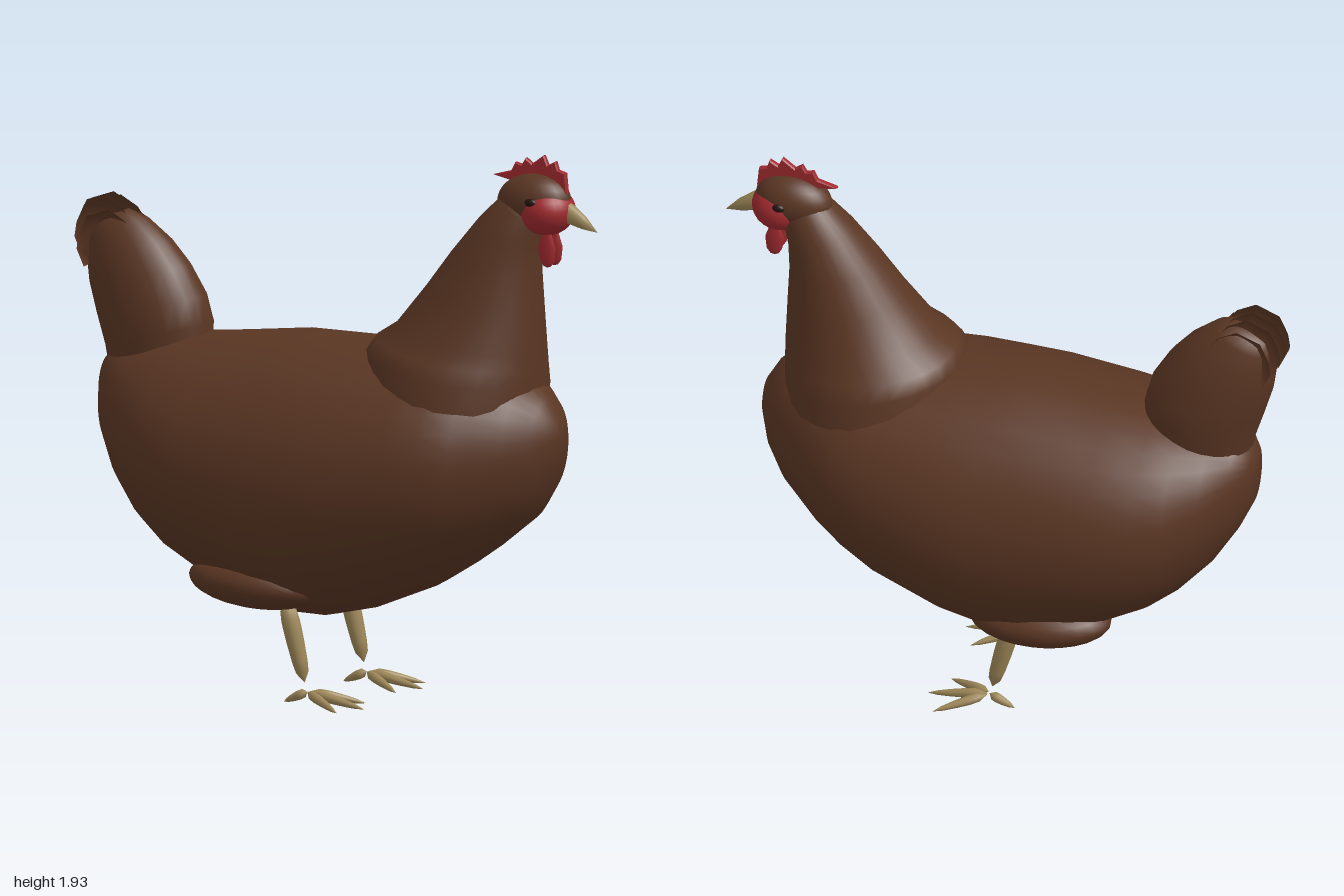
import * as THREE from 'three';
import { mergeVertices } from 'three/addons/utils/BufferGeometryUtils.js';

const material = (name, color) => {
  const m = new THREE.MeshStandardMaterial({ color });
  m.name = name;
  return m;
};

// Skin over elliptical sections [ax, ay, bx, by, halfWidthZ];
// a is on the right of the direction of travel, b on the left.
function loft(sections, sides = 24) {
  const pos = [], index = [];
  for (const [ax, ay, bx, by, w] of sections) {
    for (let j = 0; j < sides; j++) {
      const t = (j / sides) * Math.PI * 2, c = Math.cos(t) / 2;
      pos.push((ax + bx) / 2 + (bx - ax) * c, (ay + by) / 2 + (by - ay) * c, w * Math.sin(t));
    }
  }
  for (let i = 0; i < sections.length - 1; i++) {
    for (let j = 0; j < sides; j++) {
      const k = (j + 1) % sides, p = i * sides, q = p + sides;
      index.push(p + j, p + k, q + k, p + j, q + k, q + j);
    }
  }
  const g = new THREE.BufferGeometry();
  g.setAttribute('position', new THREE.Float32BufferAttribute(pos, 3));
  g.setIndex(index);
  const merged = mergeVertices(g, 1e-5);
  merged.computeVertexNormals();
  return merged;
}

// Spindle between two points, radii given evenly along its length
function spindle(from, to, radii, sides = 10) {
  const a = new THREE.Vector3(...from), d = new THREE.Vector3(...to).sub(a), len = d.length();
  const pts = radii.map((r, i) => new THREE.Vector2(r, (len * i) / (radii.length - 1)));
  const g = new THREE.LatheGeometry(pts, sides);
  g.applyQuaternion(new THREE.Quaternion().setFromUnitVectors(new THREE.Vector3(0, 1, 0), d.normalize()));
  return g.translate(a.x, a.y, a.z);
}

function ellipsoid(center, radii, tilt = 0) {
  return new THREE.SphereGeometry(1, 24, 16).scale(...radii).rotateZ(tilt).translate(...center);
}

export function createModel() {
  const brown = material('brown plumage', 0x5a3623);
  const red = material('red skin', 0xa02a2f);
  const horn = material('tan horn', 0x9c8657);
  const dark = material('dark eye', 0x24140f);
  const model = new THREE.Group();
  model.name = 'hen';
  const add = (name, geometry, mat, parent = model) => {
    const mesh = new THREE.Mesh(geometry, mat);
    mesh.name = name;
    parent.add(mesh);
    return mesh;
  };

  // Body: [x, bottom, top, half width] from rump to breast
  const bodyRows = [
    [-0.89, 1.0, 1.0, 0], [-0.88, 0.88, 1.1, 0.08], [-0.83, 0.77, 1.145, 0.175], [-0.75, 0.64, 1.165, 0.265],
    [-0.65, 0.53, 1.185, 0.35], [-0.55, 0.45, 1.205, 0.405], [-0.4, 0.37, 1.22, 0.447], [-0.15, 0.287, 1.25, 0.465],
    [0.0, 0.285, 1.25, 0.474], [0.15, 0.32, 1.25, 0.47], [0.38, 0.415, 1.24, 0.435], [0.5, 0.49, 1.23, 0.4],
    [0.6, 0.56, 1.21, 0.345], [0.74, 0.67, 1.165, 0.225], [0.81, 0.77, 1.1, 0.14], [0.85, 0.88, 1.03, 0.06],
    [0.86, 0.97, 0.97, 0],
  ];
  add('body', loft(bodyRows.map(([x, lo, hi, w]) => [x, lo, x, hi, w]), 32), brown);

  // Neck, leaning forward and tapering up into the head
  add('neck', loft([
    [0.77, 1.02, 0.15, 1.12, 0.32], [0.775, 1.13, 0.15, 1.24, 0.305], [0.775, 1.19, 0.18, 1.28, 0.275],
    [0.775, 1.25, 0.25, 1.325, 0.24], [0.77, 1.4, 0.36, 1.46, 0.19], [0.765, 1.52, 0.45, 1.58, 0.155],
    [0.77, 1.62, 0.55, 1.7, 0.122], [0.79, 1.7, 0.635, 1.785, 0.09], [0.79, 1.76, 0.7, 1.81, 0.05],
    [0.76, 1.79, 0.76, 1.79, 0],
  ], 28), brown);

  // Head and face
  add('head', ellipsoid([0.755, 1.775, 0], [0.135, 0.095, 0.088], 0.1), brown);
  add('face', ellipsoid([0.803, 1.745, 0], [0.098, 0.085, 0.098], 0.1), red);
  add('beak', loft([
    [0.86, 1.705, 0.87, 1.79, 0.03], [0.89, 1.705, 0.9, 1.775, 0.028], [0.94, 1.692, 0.95, 1.738, 0.017],
    [0.998, 1.685, 0.998, 1.685, 0],
  ], 12), horn);

  // Comb: toothed plate
  const outline = [[0.6, 1.852], [0.67, 1.872], [0.685, 1.902], [0.71, 1.895], [0.725, 1.92], [0.75, 1.902],
    [0.795, 1.935], [0.81, 1.902], [0.84, 1.918], [0.85, 1.888], [0.878, 1.88], [0.885, 1.81], [0.84, 1.8],
    [0.78, 1.83], [0.68, 1.835]];
  const combShape = new THREE.Shape(outline.map(([x, y]) => new THREE.Vector2(x, y)));
  add('comb', new THREE.ExtrudeGeometry(combShape, {
    depth: 0.012, bevelThickness: 0.005, bevelSize: 0.004, bevelOffset: -0.004, bevelSegments: 1,
  }).translate(0, 0, -0.006), red);

  // Tail base and its curled feathers
  add('tail', loft([
    [-0.5, 1.08, -0.86, 1.02, 0.14], [-0.495, 1.24, -0.88, 1.14, 0.155], [-0.52, 1.33, -0.915, 1.25, 0.152],
    [-0.58, 1.43, -0.945, 1.35, 0.135], [-0.65, 1.51, -0.955, 1.42, 0.115], [-0.74, 1.58, -0.955, 1.49, 0.085],
    [-0.81, 1.605, -0.94, 1.54, 0.05], [-0.88, 1.58, -0.88, 1.58, 0],
  ], 24), brown);
  const feather = loft([
    [-0.76, 1.53, -0.76, 1.53, 0], [-0.8, 1.49, -0.765, 1.56, 0.02], [-0.845, 1.52, -0.81, 1.62, 0.026],
    [-0.88, 1.54, -0.875, 1.655, 0.026], [-0.91, 1.53, -0.96, 1.625, 0.022], [-0.925, 1.5, -0.99, 1.56, 0.015],
    [-0.935, 1.47, -0.998, 1.51, 0.009], [-0.97, 1.45, -0.97, 1.45, 0],
  ], 10);
  [[0, 0.015], [0, -0.02], [0.01, 0.045], [0.015, -0.05], [0.045, 0.075], [0.055, -0.075]].forEach(([drop, z], i) => {
    add(`tailFeather${i + 1}`, feather, brown).position.set(drop * 0.7, -drop, z);
  });

  // Paired parts on both sides of the bird
  for (const s of [1, -1]) {
    const side = new THREE.Group();
    side.name = s > 0 ? 'nearSideParts' : 'farSideParts';
    model.add(side);

    add('eye', ellipsoid([0.785, 1.782, s * 0.083], [0.022, 0.015, 0.012]), dark, side);
    add('earLobe', ellipsoid([0.712, 1.712, s * 0.075], [0.02, 0.02, 0.014]), red, side);
    add('wattle', loft([
      [0.82, 1.69, 0.82, 1.69, 0], [0.795, 1.66, 0.835, 1.665, 0.009], [0.782, 1.62, 0.85, 1.62, 0.012],
      [0.79, 1.58, 0.845, 1.575, 0.011], [0.802, 1.56, 0.832, 1.558, 0.007], [0.817, 1.553, 0.817, 1.553, 0],
    ].reverse().map(([ax, ay, bx, by, w]) => [bx, by, ax, ay, w]), 12).translate(0, 0, s * 0.025), red, side);

    add('thigh', ellipsoid([-0.19, 0.415, s * 0.225], [0.25, 0.088, 0.15], -0.06), brown, side);
    add('shank', spindle([-0.015, 0.08, s * 0.21], [-0.088, 0.36, s * 0.21],
      [0, 0.022, 0.027, 0.029, 0.031, 0.032, 0.032, 0.028, 0]), horn, side);

    // Three front toes and one back toe
    const toes = [[0.215, 0], [0.165, 0.105], [0.165, -0.105], [-0.095, 0]];
    toes.forEach(([x, dz], i) => {
      const start = [x > 0 ? 0.0 : -0.005, 0.05, s * 0.21 + dz * 0.08];
      add(`toe${i + 1}`, spindle([x, 0.008, s * 0.21 + dz], start,
        [0, 0.008, 0.012, 0.015, 0.017, 0.016, 0]), horn, side);
    });
  }
  return model;
}
